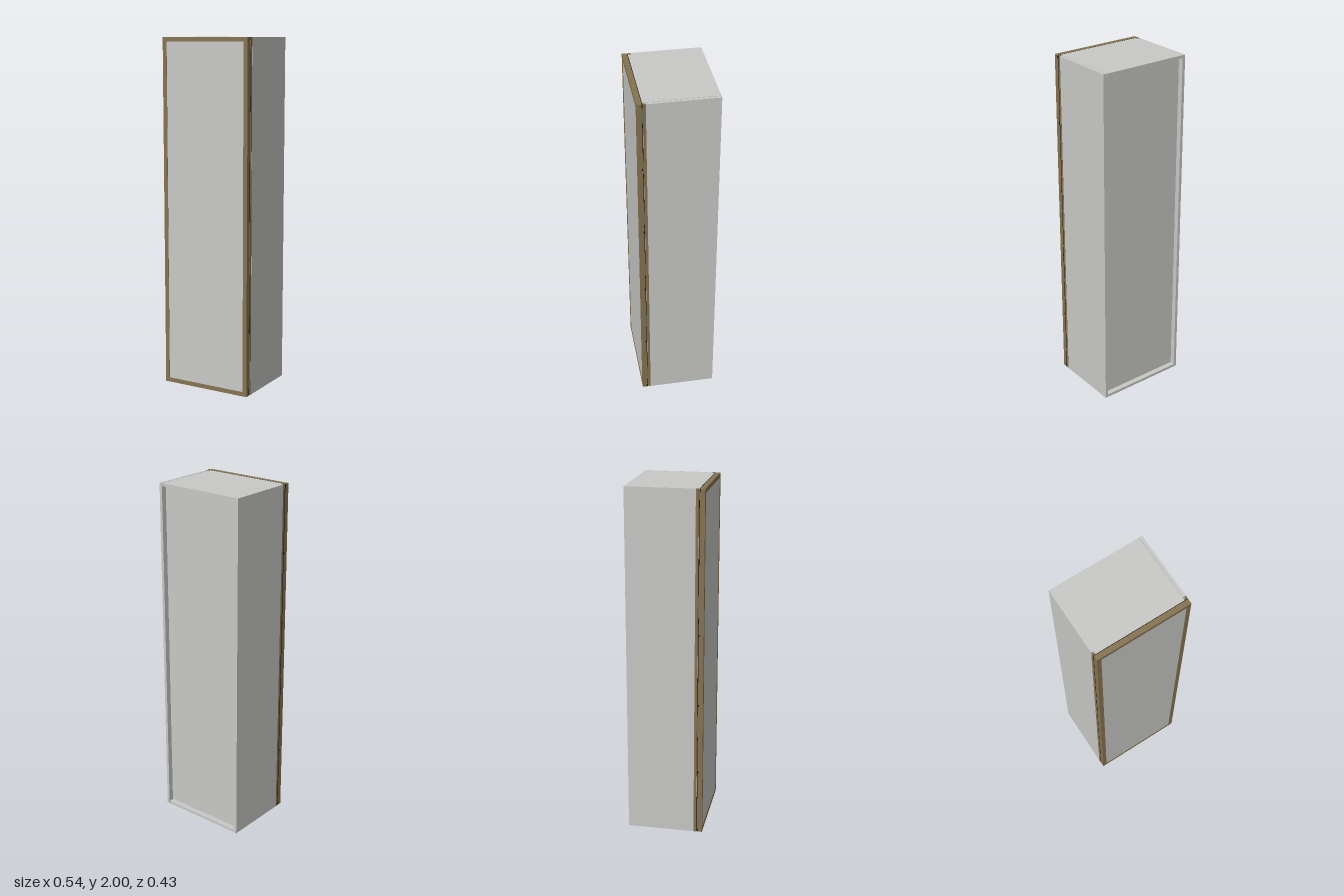
import * as THREE from 'three';

const grey = new THREE.MeshStandardMaterial({ color: 0xc8c8c6 });
grey.name = 'grey panel';
const bronze = new THREE.MeshStandardMaterial({ color: 0x857350 });
bronze.name = 'bronze';
const black = new THREE.MeshStandardMaterial({ color: 0x15130f });
black.name = 'black seal';

const H = 2, W = 0.272, BACK = -0.217, FRONT = 0.217;
const SIDE_FRONT = 0.168, SEAL = 0.188, T = 0.017;

// Box given by its limits on each axis
function slab(parent, name, material, x0, x1, y0, y1, z0, z1) {
  const mesh = new THREE.Mesh(new THREE.BoxGeometry(x1 - x0, y1 - y0, z1 - z0), material);
  mesh.position.set((x0 + x1) / 2, (y0 + y1) / 2, (z0 + z1) / 2);
  mesh.name = name;
  parent.add(mesh);
  return mesh;
}

// Extrude a flat outline given as [x, y] points
function outline(points) {
  return new THREE.Shape(points.map(([x, y]) => new THREE.Vector2(x, y)));
}

function rectangle(x0, x1, y0, y1) {
  return outline([[x0, y0], [x1, y0], [x1, y1], [x0, y1]]);
}

export function createModel() {
  const model = new THREE.Group();
  model.name = 'tallCabinet';

  // Carcass: outer sides, notched top and bottom, recessed back
  const carcass = new THREE.Group();
  carcass.name = 'carcass';
  model.add(carcass);
  slab(carcass, 'rightSide', grey, -W, -W + T, T, H - T, BACK, SIDE_FRONT);
  slab(carcass, 'leftSide', grey, W - T, W, 0, H, BACK, SIDE_FRONT);
  slab(carcass, 'backPanel', grey, -W + T, W - T, T, H - T, BACK + 0.03, BACK + 0.04);

  const boardShape = outline([
    [-W, -BACK], [-W, -SIDE_FRONT], [-0.256, -SIDE_FRONT],
    [-0.256, -SEAL + 0.002], [0.252, -SEAL + 0.002], [0.252, -BACK],
  ]);
  const boardGeometry = new THREE.ExtrudeGeometry(boardShape, { depth: T, bevelEnabled: false });
  boardGeometry.rotateX(-Math.PI / 2);
  for (const [name, y] of [['bottomBoard', 0], ['topBoard', H - T]]) {
    const board = new THREE.Mesh(boardGeometry, grey);
    board.position.y = y;
    board.name = name;
    carcass.add(board);
  }

  // Inner posts closing the notches beside the door
  slab(carcass, 'rightPost', grey, -0.256, -0.24, T, H - T, 0.12, SEAL - 0.002);
  slab(carcass, 'leftPost', grey, 0.236, 0.252, T, H - T, 0.12, SEAL - 0.002);

  // Angle trims and hinge pins at both front corners
  const trimShape = outline([
    [0.272, -0.169], [0.267, -0.169], [0.267, -0.178],
    [0.259, -0.178], [0.259, -0.183], [0.272, -0.183],
  ]);
  const trimGeometry = new THREE.ExtrudeGeometry(trimShape, { depth: H, bevelEnabled: false });
  trimGeometry.rotateX(-Math.PI / 2);
  for (const side of [-1, 1]) {
    const corner = new THREE.Group();
    corner.name = side < 0 ? 'rightCornerTrim' : 'leftCornerTrim';
    corner.scale.x = side;
    const trim = new THREE.Mesh(trimGeometry, bronze);
    trim.name = 'angleTrim';
    corner.add(trim);
    for (const y of [0.01, 0.38, 0.79, 1.2, 1.61, 1.99]) {
      slab(corner, 'hingePin', black, 0.262, 0.2715, y - 0.006, y + 0.006, 0.186, 0.194);
    }
    model.add(corner);
  }

  // Door: black seal, bronze frame and grey infill
  const door = new THREE.Group();
  door.name = 'door';
  model.add(door);
  slab(door, 'doorSeal', black, -0.271, 0.271, 0, H, SEAL - 0.002, SEAL + 0.001);

  const frameShape = rectangle(-0.271, 0.271, 0, H);
  frameShape.holes.push(rectangle(-0.246, 0.246, 0.025, H - 0.025));
  const frame = new THREE.Mesh(
    new THREE.ExtrudeGeometry(frameShape, { depth: FRONT - SEAL - 0.001, bevelEnabled: false }),
    bronze,
  );
  frame.position.z = SEAL + 0.001;
  frame.name = 'doorFrame';
  door.add(frame);
  slab(door, 'doorPanel', grey, -0.246, 0.246, 0.025, H - 0.025, SEAL + 0.001, FRONT - 0.002);

  return model;
}
